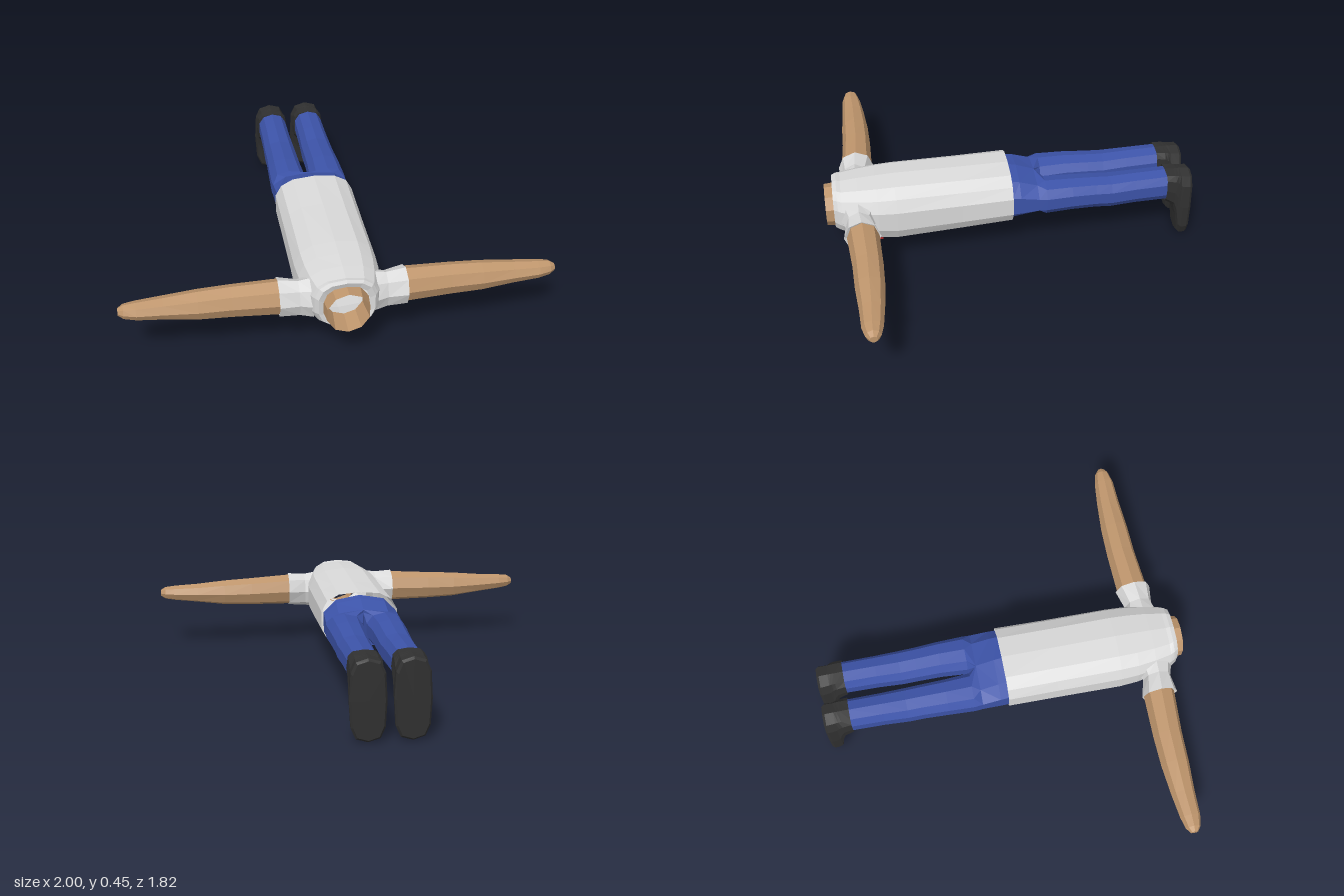
import * as THREE from 'three';

const mat = (name, color) => {
  const m = new THREE.MeshStandardMaterial({ color, side: THREE.DoubleSide, flatShading: true });
  m.name = name;
  return m;
};

// One cross-section: centre, radii; pow < 1 squares it off.
const bend = (v, p) => Math.sign(v) * Math.abs(v) ** p;
function ring([z, cx, cy, rx, ry], n, pow) {
  return Array.from({ length: n }, (_, i) => {
    const a = (i / n) * Math.PI * 2 - Math.PI / 2;
    return [cx + rx * bend(Math.cos(a), pow), cy + ry * bend(Math.sin(a), pow), z];
  });
}

// Joins rings (ordered from high z to low z) into a shell, with optional end caps.
function loft(rings, { capStart = false, capEnd = false, segments } = {}) {
  const n = rings[0].length;
  const pos = [];
  const tri = (a, b, c) => pos.push(...a, ...b, ...c);
  for (let s = 0; s < rings.length - 1; s++) {
    for (let i = 0; i < (segments ?? n); i++) {
      const j = (i + 1) % n;
      const [a, b, c, d] = [rings[s][i], rings[s][j], rings[s + 1][j], rings[s + 1][i]];
      tri(a, d, c);
      tri(a, c, b);
    }
  }
  const cap = (r, flip) => {
    const mid = [0, 1, 2].map(k => r.reduce((t, p) => t + p[k], 0) / n);
    r.forEach((p, i) => {
      const q = r[(i + 1) % n];
      if (flip) tri(mid, q, p);
      else tri(mid, p, q);
    });
  };
  if (capStart) cap(rings[0], false);
  if (capEnd) cap(rings[rings.length - 1], true);
  const g = new THREE.BufferGeometry();
  g.setAttribute('position', new THREE.Float32BufferAttribute(pos, 3));
  g.computeVertexNormals();
  return g;
}

const tube = (sections, n, pow = 1, opts) => loft(sections.map(s => ring(s, n, pow)), opts);

export function createModel() {
  const model = new THREE.Group();
  model.name = 'headlessFigure';
  const shirt = mat('shirt white', 0xd9d9d9);
  const skin = mat('skin tan', 0xbe956c);
  const denim = mat('trouser blue', 0x3c53a8);
  const black = mat('shoe black', 0x303030);
  const red = mat('badge red', 0x9a2626);

  const add = (parent, name, geometry, material) => {
    const m = new THREE.Mesh(geometry, material);
    m.name = name;
    parent.add(m);
    return m;
  };

  // Shirt body, from the collar down to the open hem
  add(model, 'shirtBody', tube([
    [0.862, 0, 0.305, 0.106, 0.108],
    [0.87, 0, 0.322, 0.13, 0.115],
    [0.85, 0, 0.32, 0.145, 0.122],
    [0.83, 0, 0.316, 0.155, 0.122],
    [0.75, 0, 0.308, 0.176, 0.138],
    [0.66, 0, 0.299, 0.19, 0.153],
    [0.57, 0, 0.296, 0.195, 0.161],
    [0.25, 0, 0.308, 0.195, 0.15],
    [0, 0, 0.32, 0.197, 0.141],
  ], 14, 0.75), shirt);

  // Open neck
  add(model, 'neck', tube([
    [0.80, 0, 0.305, 0.088, 0.088],
    [0.91, 0, 0.303, 0.1, 0.103],
    [0.84, 0, 0.303, 0.108, 0.109],
  ], 10), skin);

  // Chest badge
  const badge = add(model, 'chestBadge', new THREE.BoxGeometry(0.1, 0.009, 0.075), red);
  badge.position.set(0.068, 0.149, 0.682);
  badge.rotation.set(-0.15, 0, 0.115);

  // Limbs of one side, mirrored for the other
  for (const side of [1, -1]) {
    const half = new THREE.Group();
    half.name = side > 0 ? 'leftLimbs' : 'rightLimbs';
    half.scale.x = side;
    model.add(half);

    // Sleeve and arm are lofted along z, then turned to run along x
    add(half, 'sleeve', tube([
      [0.285, -0.744, 0.307, 0.074, 0.076],
      [0.292, -0.744, 0.308, 0.089, 0.09],
      [0.2, -0.752, 0.3, 0.07, 0.09],
      [0.14, -0.752, 0.3, 0.09, 0.1],
    ], 8).rotateY(Math.PI / 2), shirt);

    add(half, 'arm', tube([
      [1.0, -0.738, 0.312, 0.018, 0.017],
      [0.975, -0.738, 0.312, 0.036, 0.033],
      [0.92, -0.738, 0.31, 0.049, 0.041],
      [0.8, -0.733, 0.307, 0.058, 0.051],
      [0.65, -0.732, 0.304, 0.069, 0.068],
      [0.5, -0.732, 0.305, 0.072, 0.075],
      [0.27, -0.742, 0.308, 0.078, 0.084],
    ], 8, 1, { capStart: true }).rotateY(Math.PI / 2), skin);

    // Half of the hips: the inner side of each ring is flattened onto x = 0
    const hipRing = (z, w, cy, h) =>
      ring([z, 0, cy, w, h], 10, 0.85).map(([x, y, zz]) => [Math.max(x, 0), y, zz]);
    const crotch = hipRing(-0.13, 0.195, 0.313, 0.09);
    add(half, 'hip', loft([
      hipRing(0, 0.19, 0.315, 0.131),
      hipRing(-0.04, 0.192, 0.315, 0.122),
      crotch,
    ], { segments: 5 }), denim);

    // Trouser leg
    const legRings = [
      [-0.17, 0.1, 0.311, 0.094, 0.085],
      [-0.3, 0.102, 0.314, 0.087, 0.081],
      [-0.42, 0.1, 0.31, 0.083, 0.079],
      [-0.5, 0.1, 0.305, 0.082, 0.08],
      [-0.62, 0.1, 0.311, 0.077, 0.079],
      [-0.785, 0.1, 0.315, 0.075, 0.08],
    ].map(s => ring(s, 10, 0.85));
    add(half, 'trouserLeg', loft([crotch, ...legRings]), denim);

    // Shoe, toe pointing down and sole facing back
    add(half, 'shoe', tube([
      [-0.78, 0.1, 0.316, 0.079, 0.082],
      [-0.825, 0.1, 0.298, 0.081, 0.098],
      [-0.842, 0.1, 0.266, 0.081, 0.13],
      [-0.856, 0.1, 0.212, 0.081, 0.185],
      [-0.872, 0.1, 0.203, 0.083, 0.193],
      [-0.9, 0.1, 0.202, 0.085, 0.192],
      [-0.912, 0.1, 0.202, 0.075, 0.182],
    ], 12, 0.62, { capEnd: true }), black);
  }
  return model;
}
